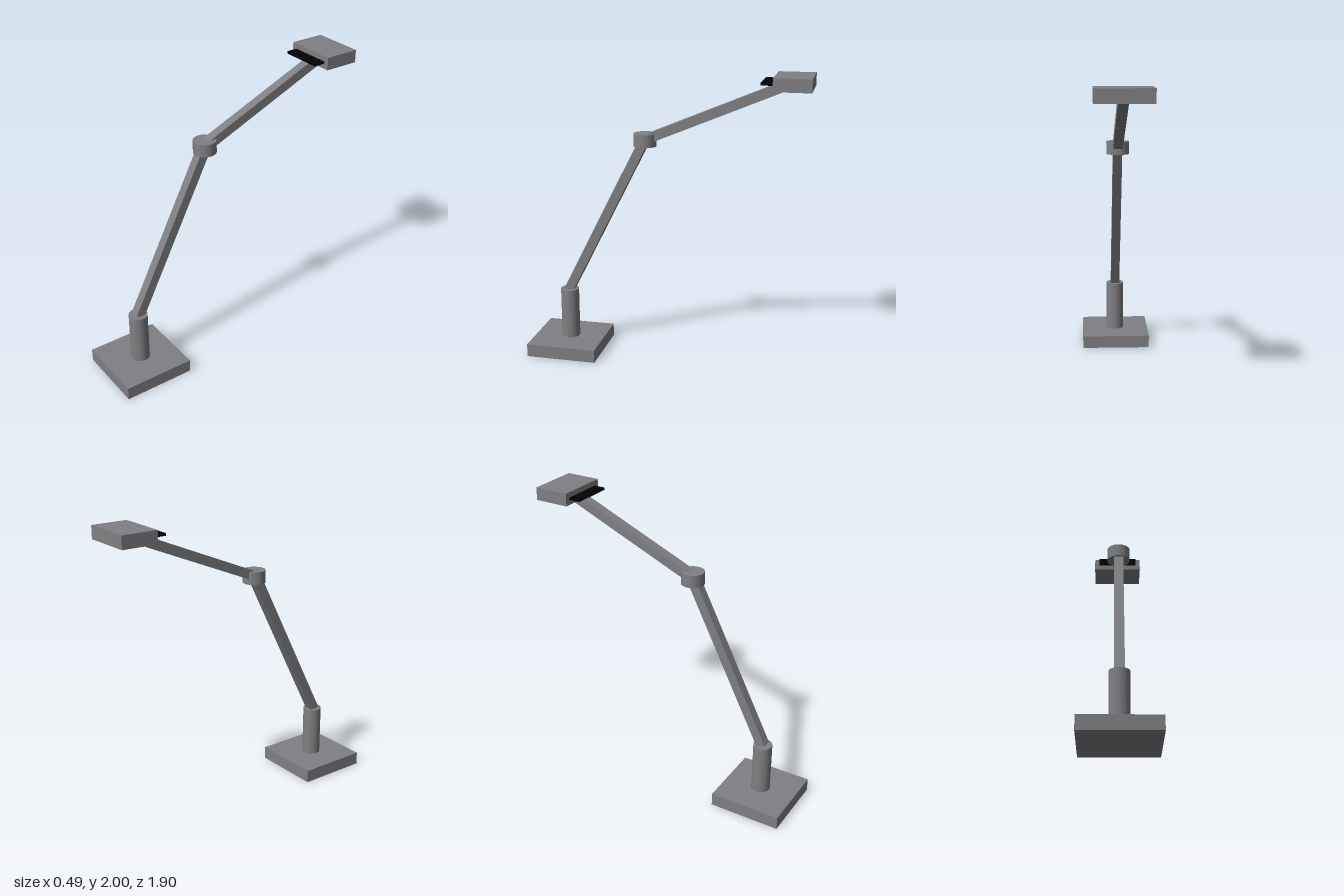
import * as THREE from 'three';

export function createModel() {
  const group = new THREE.Group();
  const grey = new THREE.MeshStandardMaterial({ color: 0x808084 });
  const black = new THREE.MeshStandardMaterial({ color: 0x030303 });

  const add = (name, geometry, y, z, material = grey) => {
    const mesh = new THREE.Mesh(geometry, material);
    mesh.name = name;
    mesh.position.set(0, y, z);
    group.add(mesh);
    return mesh;
  };

  // Square bar between two [y, z] points in the middle plane
  const addArm = (name, [y0, z0], [y1, z1]) => {
    const length = Math.hypot(y1 - y0, z1 - z0);
    const arm = add(name, new THREE.BoxGeometry(0.064, length, 0.064), (y0 + y1) / 2, (z0 + z1) / 2);
    arm.rotation.x = Math.atan2(z1 - z0, y1 - y0);
  };

  const baseZ = 0.706;
  const elbow = [1.545, 0.147];

  // Base and post
  add('base', new THREE.BoxGeometry(0.492, 0.09, 0.492), 0.045, baseZ);
  add('post', new THREE.CylinderGeometry(0.064, 0.064, 0.357, 48), 0.2665, baseZ);

  // Jointed arm
  addArm('lowerArm', [0.443, baseZ], elbow);
  add('elbowJoint', new THREE.CylinderGeometry(0.077, 0.077, 0.086, 48), elbow[0], elbow[1]);
  addArm('upperArm', elbow, [1.955, -0.825]);

  // Head with a thin plate projecting from its front
  add('head', new THREE.BoxGeometry(0.354, 0.086, 0.243), 1.957, -0.8305);
  add('frontPlate', new THREE.BoxGeometry(0.283, 0.016, 0.16), 1.956, -0.71, black);

  return group;
}
